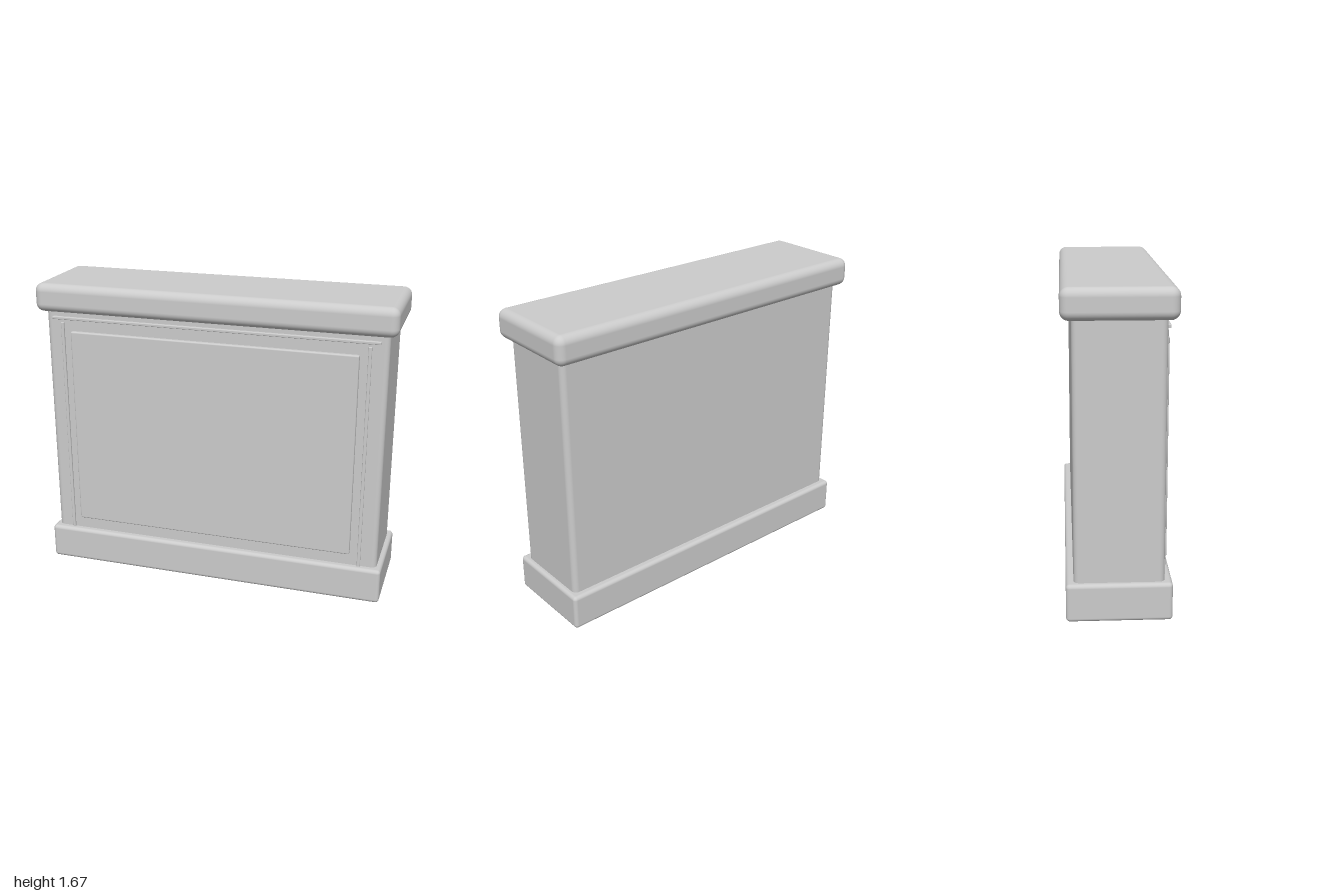
import * as THREE from 'three';
import { RoundedBoxGeometry } from 'three/addons/geometries/RoundedBoxGeometry.js';

export function createModel() {
  const group = new THREE.Group();
  const material = new THREE.MeshStandardMaterial({ color: 0xcccccc });

  // Rounded block given by its extents along each axis
  function block(name, [x0, x1], [y0, y1], [z0, z1], radius) {
    const geometry = new RoundedBoxGeometry(x1 - x0, y1 - y0, z1 - z0, 5, radius);
    const mesh = new THREE.Mesh(geometry, material);
    mesh.name = name;
    mesh.position.set((x0 + x1) / 2, (y0 + y1) / 2, (z0 + z1) / 2);
    group.add(mesh);
  }

  // Main masses: base, body and overhanging top
  block('plinth', [-0.983, 0.983], [0, 0.2], [-0.267, 0.267], 0.02);
  block('body', [-0.955, 0.955], [0.15, 1.56], [-0.228, 0.228], 0.03);
  block('topSlab', [-1, 1], [1.517, 1.675], [-0.282, 0.282], 0.045);

  // Raised front panel
  block('frontPanel', [-0.805, 0.805], [0.27, 1.41], [0.21, 0.25], 0.008);

  // Thin trim: one strip up each side and one under the top
  for (const [side, name] of [[1, 'leftTrim'], [-1, 'rightTrim']]) {
    const x = side * 0.857;
    block(name, [x - 0.009, x + 0.009], [0.18, 1.457], [0.215, 0.238], 0.004);
  }
  block('upperTrim', [-0.913, 0.913], [1.474, 1.49], [0.22, 0.245], 0.004);

  return group;
}
